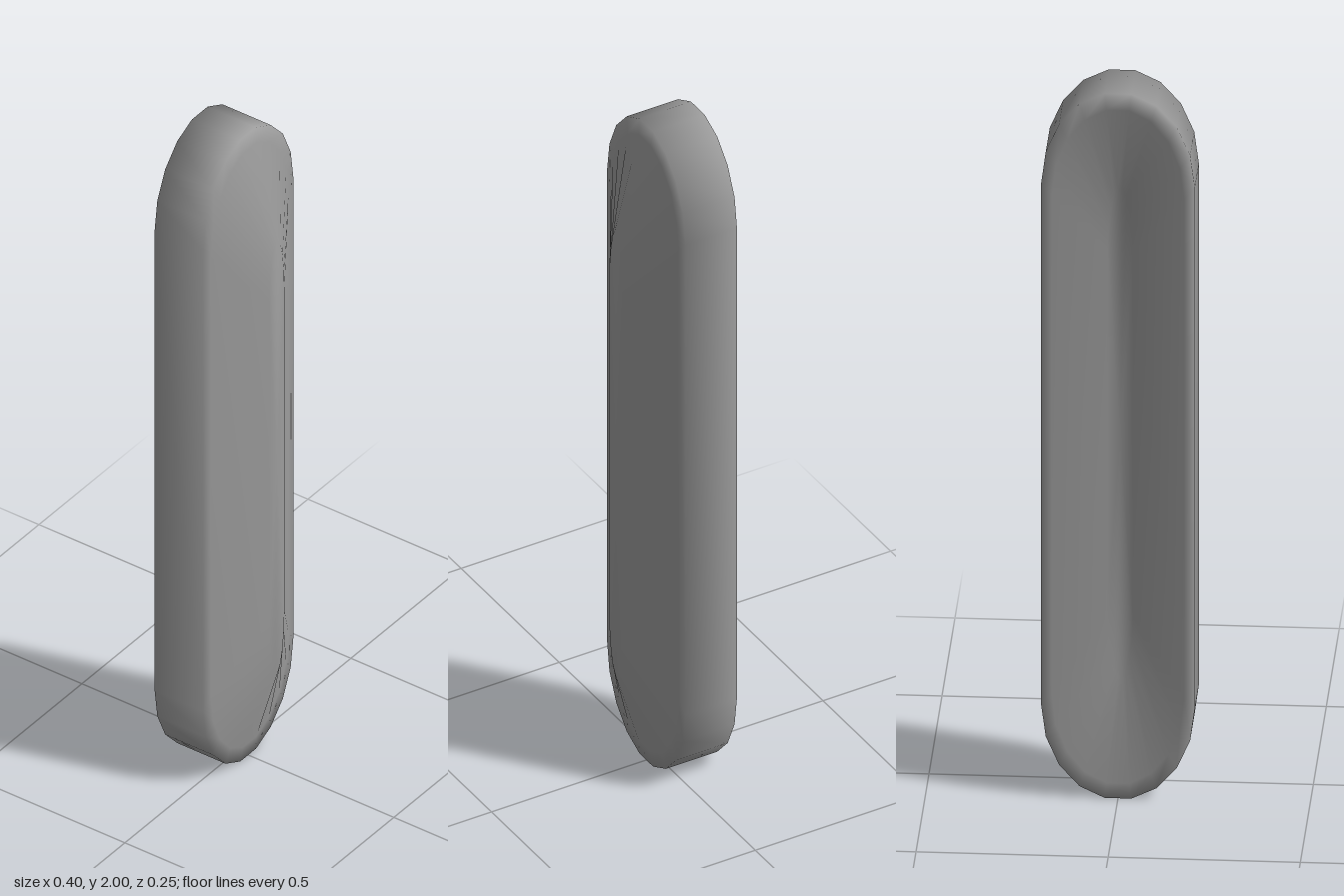
import * as THREE from 'three';

// Long rounded outline, counter-clockwise seen from +z, unit half-width and half-height
function outline(segments = 9) {
  const points = [];
  const top = Math.sin((80 * Math.PI) / 180);
  for (const end of [1, -1]) {
    for (let i = 0; i <= segments; i++) {
      const a = (i / segments) * Math.PI;
      const y = 0.74 + 0.26 * Math.min(1, Math.sin(a) / top);
      points.push([end * Math.cos(a), end * y]);
    }
  }
  return points;
}

// Skin through rings given as [half-width, half-height, z],
// softly shaded: every face counts equally in its corners' normals
function loft(points, rings) {
  const n = points.length;
  const corners = rings.flatMap(([w, h, z]) =>
    points.map(([x, y]) => new THREE.Vector3(x * w, y * h + 1, z)));
  const normals = corners.map(() => new THREE.Vector3());
  const index = [];
  for (let r = 0; r < rings.length - 1; r++) {
    for (let i = 0; i < n; i++) {
      const a = r * n + i, b = r * n + ((i + 1) % n), c = a + n, d = b + n;
      index.push(a, b, d, a, d, c);
      const across = corners[c].clone().sub(corners[b]);
      const normal = corners[d].clone().sub(corners[a]).cross(across).normalize();
      for (const k of [a, b, c, d]) normals[k].add(normal);
    }
  }
  const geometry = new THREE.BufferGeometry().setFromPoints(corners);
  const flat = normals.flatMap((v) => v.normalize().toArray());
  geometry.setAttribute('normal', new THREE.Float32BufferAttribute(flat, 3));
  geometry.setIndex(index);
  return geometry;
}

export function createModel() {
  const group = new THREE.Group();
  group.name = 'hollowCover';

  const rings = [
    // shallow hollow in the back, from its floor out to the lip
    [0, 0, -0.04],
    [0.033, 0.695, -0.04],
    [0.172, 0.955, -0.127],
    // back lip and side wall
    [0.2, 1, -0.122],
    [0.2, 1, 0.033],
    // sloped front and flat ridge
    [0.172, 0.955, 0.038],
    [0.033, 0.695, 0.125],
    [0, 0, 0.125],
  ];
  const shell = new THREE.Mesh(
    loft(outline(), rings),
    new THREE.MeshStandardMaterial({ color: 0x9c9c9c })
  );
  shell.name = 'shell';
  group.add(shell);
  return group;
}
